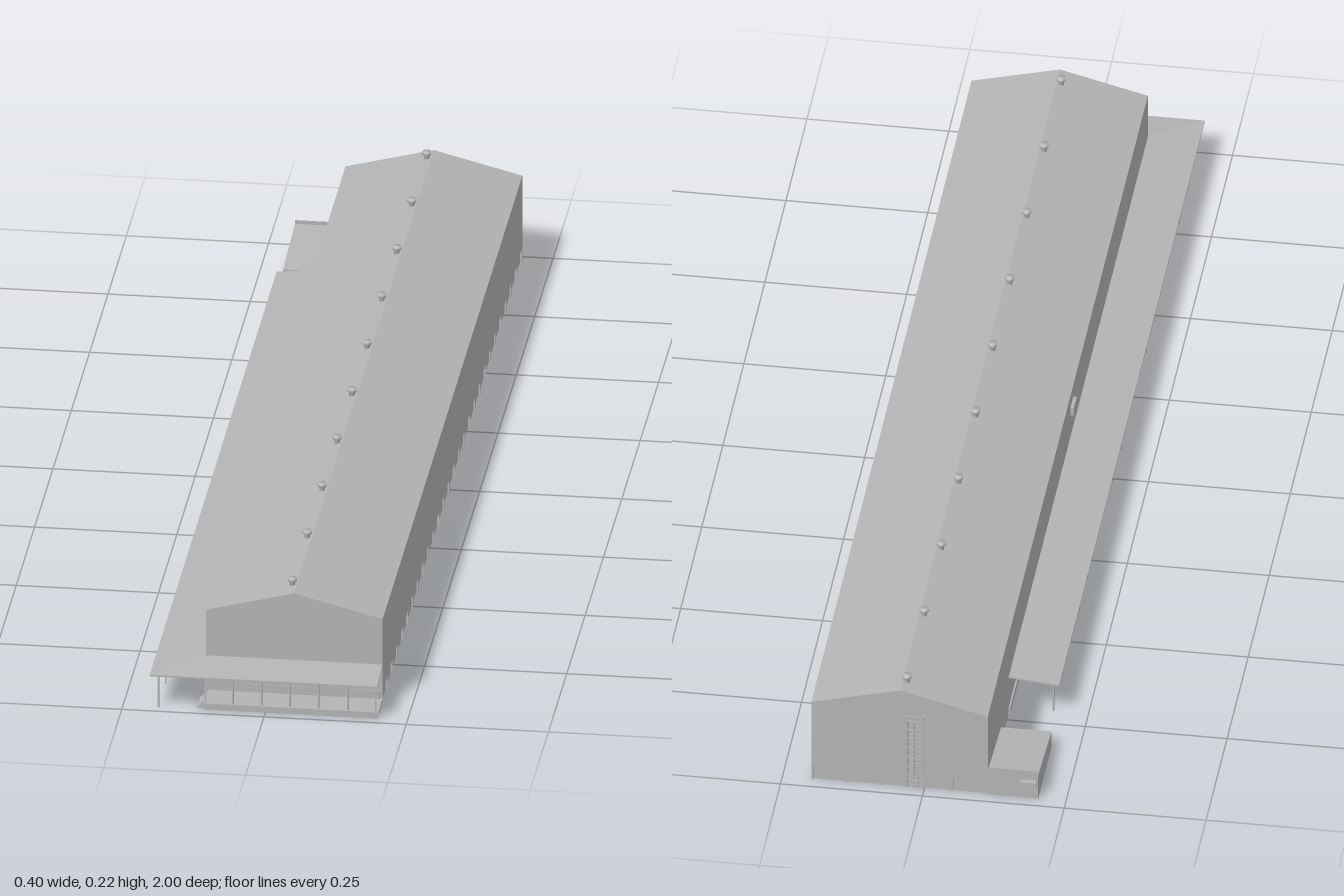
import * as THREE from 'three';

const sheet = new THREE.MeshStandardMaterial({ color: 0xb4b4b4, side: THREE.DoubleSide });
sheet.name = 'light grey';

// Hall limits
const L = -0.112, R = 0.199, F = 0.925, B = -0.978;
const EAVE = 0.165, RIDGE = 0.205, RX = 0.043, SILL = 0.03;

export function createModel() {
  const model = new THREE.Group();
  model.name = 'longHall';

  const add = (name, geo, parent = model) => {
    const m = new THREE.Mesh(geo, sheet);
    m.name = name;
    parent.add(m);
    return m;
  };
  // Box given by its limits
  const box = (name, x0, x1, y0, y1, z0, z1, parent) => {
    const m = add(name, new THREE.BoxGeometry(x1 - x0, y1 - y0, z1 - z0), parent);
    m.position.set((x0 + x1) / 2, (y0 + y1) / 2, (z0 + z1) / 2);
    return m;
  };
  // Flat polygon, corners anticlockwise from its outside
  const face = (name, ...pts) => {
    const g = new THREE.BufferGeometry();
    const tri = [];
    for (let i = 1; i < pts.length - 1; i++) tri.push(...pts[0], ...pts[i], ...pts[i + 1]);
    g.setAttribute('position', new THREE.Float32BufferAttribute(tri, 3));
    g.computeVertexNormals();
    return add(name, g);
  };
  const group = (name) => {
    const g = new THREE.Group();
    g.name = name;
    model.add(g);
    return g;
  };

  // Hall walls, gables and roof, open underneath
  face('rightWall', [L, 0, B], [L, 0, F], [L, EAVE, F], [L, EAVE, B]);
  face('leftWall', [R, SILL, F], [R, SILL, B], [R, EAVE, B], [R, EAVE, F]);
  face('frontGable', [L, 0, F], [R, 0, F], [R, EAVE, F], [RX, RIDGE, F], [L, EAVE, F]);
  face('backGable', [R, SILL, B], [L, SILL, B], [L, EAVE, B], [RX, RIDGE, B], [R, EAVE, B]);
  face('roofRight', [L, EAVE, B], [L, EAVE, F], [RX, RIDGE, F], [RX, RIDGE, B]);
  face('roofLeft', [RX, RIDGE, B], [RX, RIDGE, F], [R, EAVE, F], [R, EAVE, B]);

  // Recessed plinth with ledge and pilasters
  const plinth = group('plinth');
  const IN = 0.004;
  box('leftPlinthWall', R - IN - 0.002, R - IN, 0, SILL, B + IN, F, plinth);
  box('backPlinthWall', L, R - IN, 0, SILL, B + IN, B + IN + 0.002, plinth);
  box('leftLedge', R - IN, R, SILL - 0.002, SILL, B, F, plinth);
  box('backLedge', L, R, SILL - 0.002, SILL, B, B + IN, plinth);
  for (let i = 0; i <= 27; i++) {
    const z = B + 0.002 + (i / 27) * (F - B - 0.004);
    box('pilaster', R - IN, R - 0.001, 0, SILL, z - 0.002, z + 0.002, plinth);
  }
  for (let i = 0; i <= 5; i++) {
    const x = L + 0.002 + (i / 5) * (R - L - 0.004);
    box('pilaster', x - 0.002, x + 0.002, 0, SILL, B + 0.001, B + IN, plinth);
  }

  // Ridge vents: narrow neck below a wider cap
  const vents = group('roofVents');
  const ventShape = [[0.005, -0.005], [0.005, 0.006], [0.008, 0.009], [0.008, 0.015], [0, 0.015]]
    .map(([r, y]) => new THREE.Vector2(r, y));
  for (let i = 0; i < 10; i++) {
    add('vent', new THREE.LatheGeometry(ventShape, 12), vents)
      .position.set(0.035, 0.202, -0.945 + i * 0.2033);
  }

  // Canopy along the right side and across the front, mitred at the corner
  const C0 = 0.078, C1 = 0.069, T = 0.003, CX = -0.201, CB = -0.73;
  for (const d of [0, T]) {
    face('sideCanopy', [CX, C1 - d, CB], [CX, C1 - d, 1], [L, C0 - d, F], [L, C0 - d, CB]);
    face('frontCanopy', [CX, C1 - d, 1], [R, C1 - d, 1], [R, C0 - d, F], [L, C0 - d, F]);
  }
  face('canopyFrontEdge', [CX, C1 - T, 1], [R, C1 - T, 1], [R, C1, 1], [CX, C1, 1]);
  face('canopySideEdge', [CX, C1 - T, CB], [CX, C1 - T, 1], [CX, C1, 1], [CX, C1, CB]);
  face('canopyBackEnd', [L, C0 - T, CB], [CX, C1 - T, CB], [CX, C1, CB], [L, C0, CB]);
  face('canopyLeftEnd', [R, C1 - T, 1], [R, C0 - T, F], [R, C0, F], [R, C1, 1]);

  // Canopy posts
  const posts = group('canopyPosts');
  for (let i = 0; i < 18; i++) {
    const z = -0.71 + i * (1.69 / 17);
    box('sidePost', -0.1895, -0.1865, 0, 0.068, z - 0.0015, z + 0.0015, posts);
  }
  for (const x of [-0.105, -0.057, -0.007, 0.043, 0.093, 0.145, 0.194]) {
    box('frontPost', x - 0.0015, x + 0.0015, 0.012, 0.069, 0.979, 0.982, posts);
  }

  // Loading platform with steps at its right end
  box('frontPlatform', -0.108, R, 0.008, 0.013, F, 0.985);
  box('platformFront', -0.108, R, 0, 0.008, 0.98, 0.982);
  for (let i = 0; i < 3; i++) {
    box('platformStep', -0.12 + i * 0.004, -0.108, i * 0.004, i * 0.004 + 0.004, 0.935, 0.975);
  }

  // Front doors and low dock boards
  for (const [x0, x1, top] of [[-0.1, -0.043, 0.054], [0.075, 0.131, 0.054],
    [-0.041, 0.011, 0.028], [0.014, 0.072, 0.028], [0.134, 0.194, 0.028]]) {
    box(top > 0.04 ? 'frontDoor' : 'dockBoard', x0, x1, 0.013, top, F, F + 0.002);
  }

  // Side doors, low kerb and wall unit
  for (const z of [0.13, -0.4]) box('sideDoor', L - 0.002, L, 0, 0.045, z - 0.025, z + 0.025);
  box('sideKerb', L - 0.003, L, 0, 0.012, CB, F);
  box('wallUnit', L - 0.006, L, 0.124, 0.14, 0.005, 0.04);

  // Low annex with a sloping roof and a back parapet, open underneath
  const AF = -0.82, AL = 0.033, AH = 0.05, AP = 0.057;
  face('annexFront', [CX, 0, AF], [L, 0, AF], [L, AL, AF], [CX, AL, AF]);
  face('annexSide', [CX, 0, B], [CX, 0, AF], [CX, AL, AF], [CX, AH, B]);
  face('annexBack', [L, 0, B], [CX, 0, B], [CX, AP, B], [L, AP, B]);
  face('annexRoof', [CX, AL, AF], [L, AL, AF], [L, AH, B], [CX, AH, B]);
  box('annexUnit', -0.198, -0.17, 0.025, 0.038, B - 0.009, B);

  // Caged ladder on the back gable
  const ladder = group('backLadder');
  for (const x of [0, 0.03]) {
    box('ladderRail', x - 0.001, x + 0.001, 0.005, 0.155, B - 0.006, B - 0.004, ladder);
  }
  for (let y = 0.01; y < 0.155; y += 0.009) {
    box('rung', 0, 0.03, y, y + 0.0015, B - 0.006, B - 0.0045, ladder);
  }
  for (let y = 0.04; y < 0.157; y += 0.019) {
    const hoop = add('cageHoop', new THREE.TorusGeometry(0.016, 0.0012, 4, 12, Math.PI), ladder);
    hoop.rotation.x = -Math.PI / 2;
    hoop.position.set(0.015, y, B - 0.0048);
    for (const x of [0, 0.03]) {
      box('bracket', x - 0.001, x + 0.001, y, y + 0.002, B - 0.005, B, ladder);
    }
  }
  for (const a of [0.25, 0.5, 0.75]) {
    const x = 0.015 + 0.016 * Math.cos(a * Math.PI);
    const z = B - 0.0048 - 0.016 * Math.sin(a * Math.PI);
    box('cageBar', x - 0.0006, x + 0.0006, 0.04, 0.154, z - 0.0006, z + 0.0006, ladder);
  }

  return model;
}
